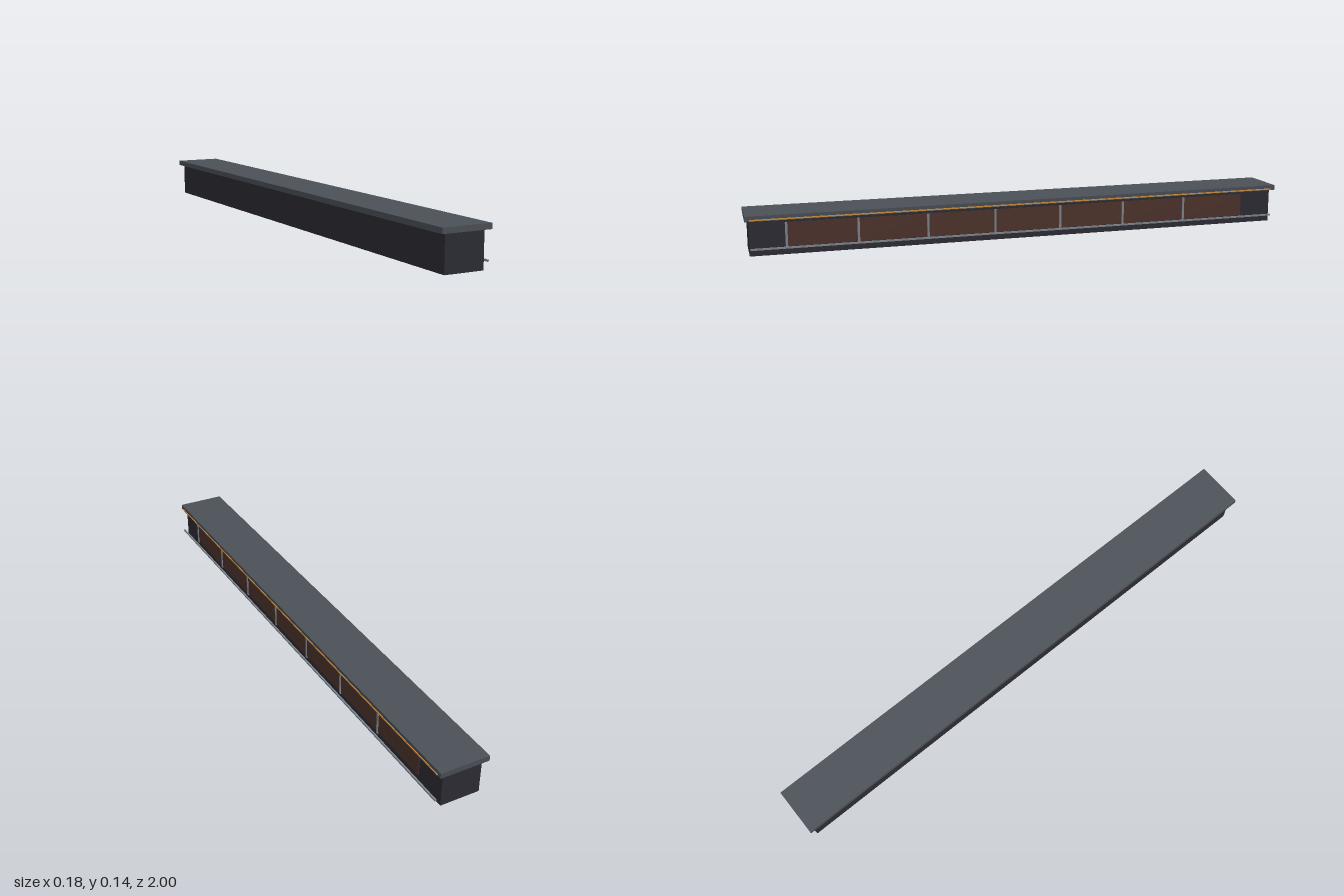
import * as THREE from 'three';

const mat = (name, color) => {
  const m = new THREE.MeshStandardMaterial({ color });
  m.name = name;
  return m;
};

export function createModel() {
  const group = new THREE.Group();
  const wall = mat('dark wall', 0x2c2c34);
  const roofGrey = mat('roof grey', 0x4b5057);
  const brown = mat('brown panel', 0x4e332c);
  const steel = mat('steel grey', 0x80868e);
  const amber = mat('amber', 0xd0903c);

  // Box given by its minimum and maximum corners
  const box = (name, material, [x0, y0, z0], [x1, y1, z1]) => {
    const mesh = new THREE.Mesh(new THREE.BoxGeometry(x1 - x0, y1 - y0, z1 - z0), material);
    mesh.position.set((x0 + x1) / 2, (y0 + y1) / 2, (z0 + z1) / 2);
    mesh.name = name;
    group.add(mesh);
  };

  // Long hall and its overhanging flat roof
  box('body', wall, [-0.073, 0, -0.987], [0.069, 0.124, 0.987]);
  box('roof', roofGrey, [-0.091, 0.124, -1], [0.087, 0.143, 1]);

  // Light strip along the lower edge of the roof
  box('lightStrip', amber, [0.085, 0.1265, -0.985], [0.0895, 0.131, 0.985]);

  // Seven bays, each a brown panel with a slim post at its front end
  const pitch = 0.247;
  for (let i = 0; i < 7; i++) {
    const z = 0.862 - i * pitch;
    box('panel', brown, [0.068, 0.028, z - pitch + 0.003], [0.0715, 0.112, z]);
    box('post', steel, [0.068, 0.023, z - 0.004], [0.0745, 0.112, z + 0.004]);
  }

  // Rail running the full length in front of the bays
  box('rail', steel, [0.084, 0.024, -0.985], [0.09, 0.03, 0.985]);

  return group;
}
